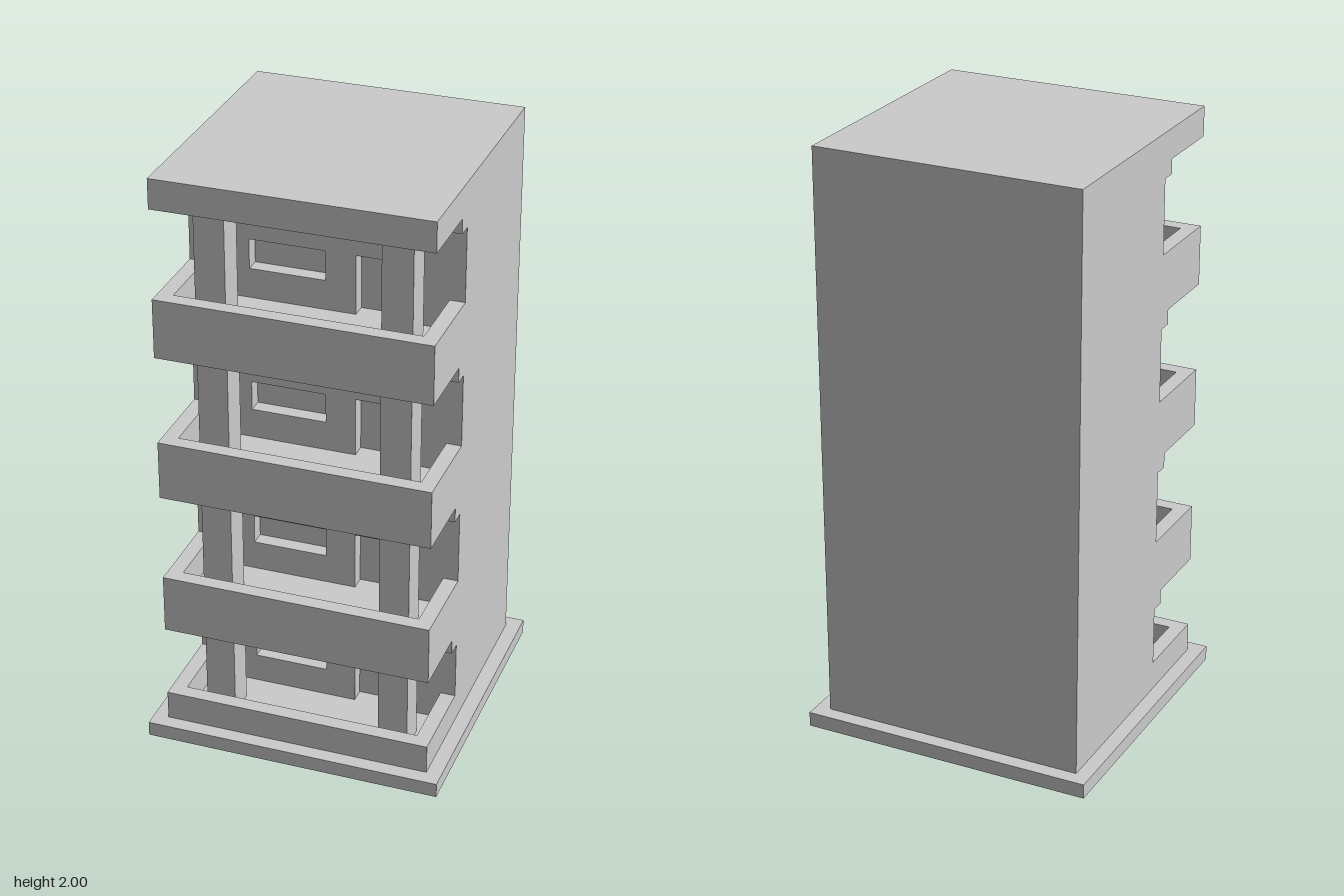
import * as THREE from 'three';

const material = new THREE.MeshStandardMaterial({ color: 0xcccccc, flatShading: true });

// Box given by its min and max along each axis
function box(name, [x0, x1], [y0, y1], [z0, z1]) {
  const geometry = new THREE.BoxGeometry(x1 - x0, y1 - y0, z1 - z0);
  geometry.translate((x0 + x1) / 2, (y0 + y1) / 2, (z0 + z1) / 2);
  const mesh = new THREE.Mesh(geometry, material);
  mesh.name = name;
  return mesh;
}

const outline = (points) => points.map(([x, y]) => new THREE.Vector2(x, y));

// Front wall with a door notch and a window hole, measured up from the floor
function facade(height) {
  const shape = new THREE.Shape(outline([
    [-0.45, 0], [0.1, 0], [0.1, 0.2], [0.25, 0.2], [0.25, 0], [0.45, 0],
    [0.45, height], [-0.45, height],
  ]));
  shape.holes.push(new THREE.Path(outline([[-0.25, 0.1], [-0.25, 0.2], [0, 0.2], [0, 0.1]])));
  const geometry = new THREE.ExtrudeGeometry(shape, { depth: 0.05, bevelEnabled: false });
  const mesh = new THREE.Mesh(geometry.translate(0, 0, 0.1), material);
  mesh.name = 'facade';
  return mesh;
}

// U-shaped balcony wall, open towards the building
function parapet() {
  const shape = new THREE.Shape(outline([
    [-0.45, 0.15], [-0.4, 0.15], [-0.4, 0.4], [0.4, 0.4],
    [0.4, 0.15], [0.45, 0.15], [0.45, 0.45], [-0.45, 0.45],
  ]));
  const geometry = new THREE.ExtrudeGeometry(shape, { depth: 0.1, bevelEnabled: false });
  const mesh = new THREE.Mesh(geometry.rotateX(Math.PI / 2).translate(0, 0.1, 0), material);
  mesh.name = 'parapet';
  return mesh;
}

// One storey: facade, balcony, pillars, lintel and the slab above
function storey(height) {
  const group = new THREE.Group();
  group.add(facade(height), parapet());
  for (const [name, x] of [['leftPillar', 0.25], ['rightPillar', -0.35]]) {
    group.add(box(name, [x, x + 0.1], [0, height], [0.25, 0.35]));
  }
  group.add(box('lintel', [-0.45, 0.45], [height - 0.05, height], [0.15, 0.2]));
  group.add(box('slab', [-0.45, 0.45], [height, height + 0.1], [0.1, 0.45]));
  return group;
}

export function createModel() {
  const model = new THREE.Group();
  model.name = 'apartmentTower';
  model.add(box('base', [-0.5, 0.5], [0, 0.05], [-0.5, 0.5]));
  model.add(box('core', [-0.45, 0.45], [0.05, 2], [-0.45, 0.1]));

  // Storeys, the ground one slightly lower than the rest
  [0.05, 0.5, 1, 1.5].forEach((floor, i) => {
    const level = storey(0.4 + i * 0.5 - floor);
    level.name = `storey${i + 1}`;
    level.position.y = floor;
    model.add(level);
  });
  return model;
}
